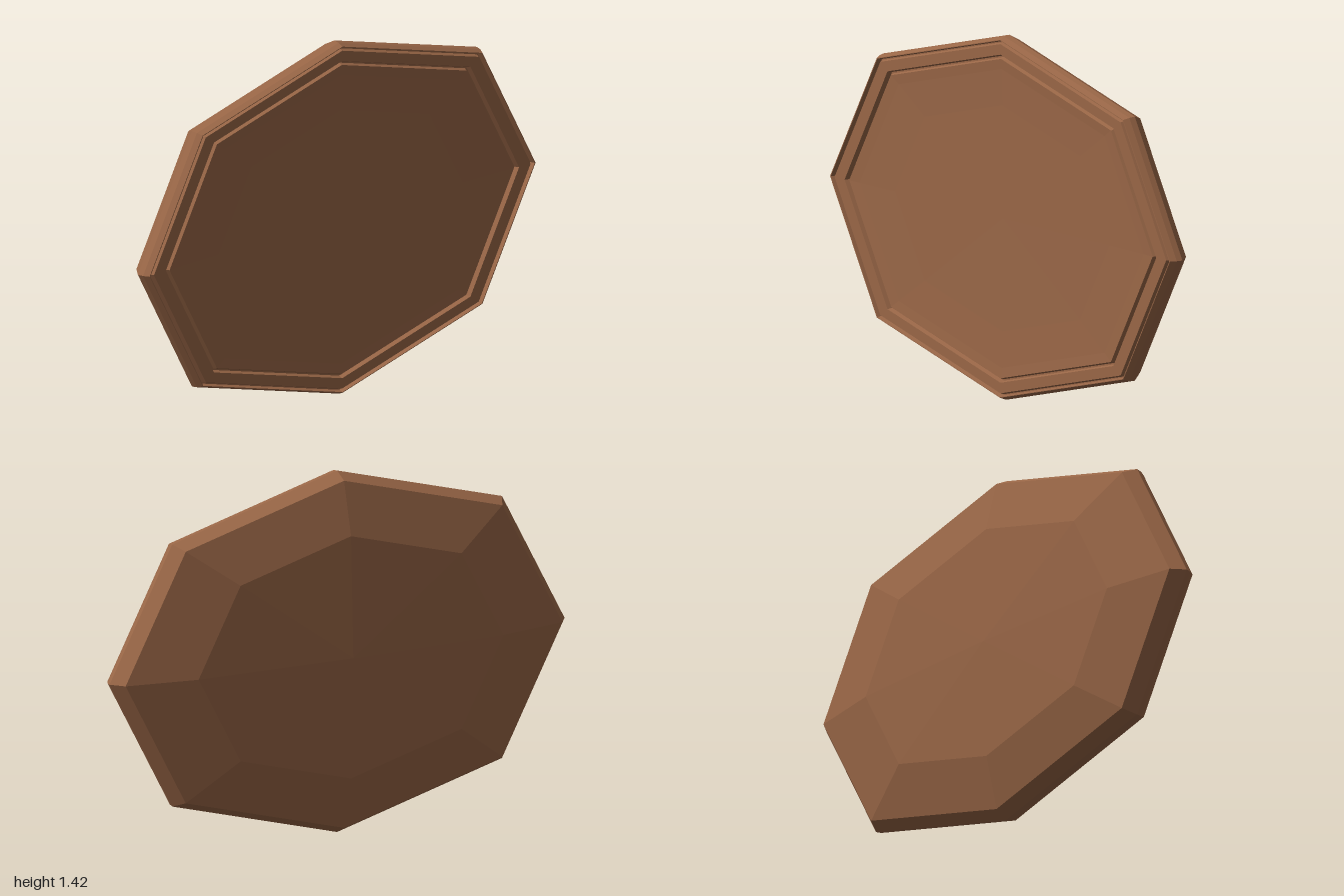
import * as THREE from 'three';

const HALF_HEIGHT = 0.71;
const material = new THREE.MeshStandardMaterial({ color: 0x9a6747, flatShading: true });

// Eight-sided ring from a profile of [radius, depth along x], stretched to an oval octagon
function octagonPart(name, profile) {
  const points = profile.map(([r, d]) => new THREE.Vector2(r, d));
  const geometry = new THREE.LatheGeometry(points, 8);
  geometry.rotateZ(-Math.PI / 2); // lathe axis now points to +x
  const pos = geometry.attributes.position;
  for (let i = 0; i < pos.count; i++) {
    const y = pos.getY(i), z = pos.getZ(i);
    // the diagonal corners sit slightly further out
    const k = Math.abs(y) > 1e-4 && Math.abs(z) > 1e-4 ? 1.025 : 1;
    pos.setY(i, y * k * HALF_HEIGHT + HALF_HEIGHT);
    pos.setZ(i, z * k);
  }
  geometry.computeVertexNormals();
  const mesh = new THREE.Mesh(geometry, material);
  mesh.name = name;
  return mesh;
}

export function createModel() {
  const group = new THREE.Group();
  group.name = 'octagonalPlaque';
  group.add(
    // Shallow domed back
    octagonPart('domedBack', [[0, -0.085], [0.67, -0.068], [0.96, -0.015]]),
    // Bevelled outer edge
    octagonPart('outerRim', [[0.96, -0.015], [1, 0.038], [0.995, 0.062], [0.982, 0.085], [0.978, 0.085]]),
    // Narrow groove between rim and frame
    octagonPart('outerGroove', [[0.978, 0.085], [0.972, 0.065], [0.966, 0.065], [0.958, 0.083]]),
    // Flat frame
    octagonPart('frame', [[0.958, 0.083], [0.9, 0.083]]),
    // Narrow groove between frame and panel
    octagonPart('innerGroove', [[0.9, 0.083], [0.892, 0.065], [0.884, 0.065], [0.876, 0.08]]),
    // Very slightly dished front panel
    octagonPart('frontPanel', [[0.876, 0.08], [0.82, 0.077], [0.62, 0.073], [0, 0.07]]),
  );
  return group;
}
